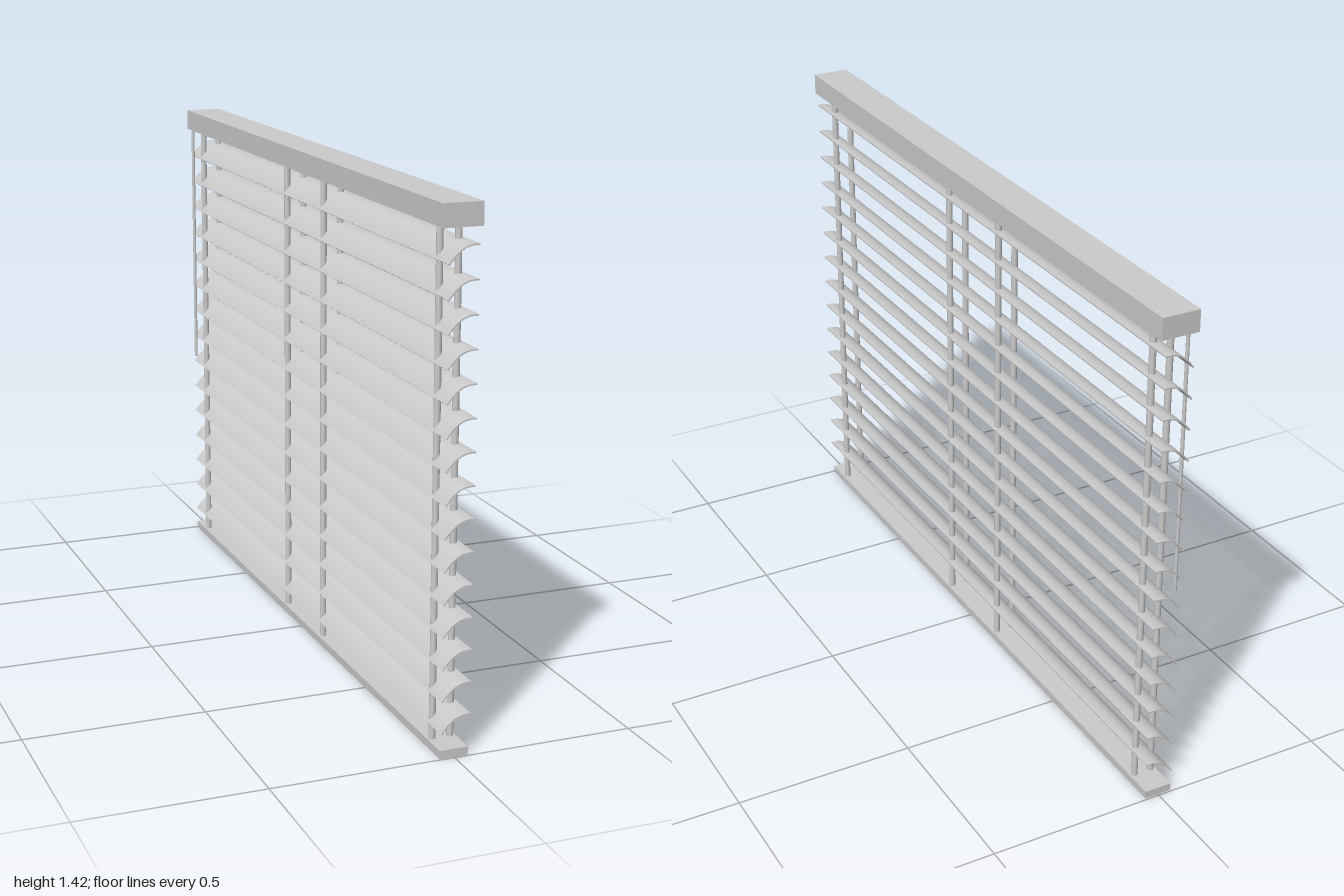
import * as THREE from 'three';
import { toCreasedNormals } from 'three/addons/utils/BufferGeometryUtils.js';

const SLATS = 15, SLAT_TOP = 0.117, SLAT_STEP = 0.086;
const CORD_Z = [0.915, 0.146, -0.142, -0.915];
const HEAD_Y = 1.36, HEAD_H = 0.06, FOOT_H = 0.022;

export function createModel() {
  const group = new THREE.Group();
  const material = new THREE.MeshStandardMaterial({ color: 0xcccccc });

  const add = (name, geometry, x, y, z, parent = group) => {
    const mesh = new THREE.Mesh(geometry, material);
    mesh.name = name;
    mesh.position.set(x, y, z);
    parent.add(mesh);
    return mesh;
  };

  // Rails
  add('headRail', new THREE.BoxGeometry(0.107, HEAD_H, 1.99), 0, HEAD_Y + HEAD_H / 2, 0);
  add('bottomRail', new THREE.BoxGeometry(0.078, FOOT_H, 1.99), 0, FOOT_H / 2, 0);

  // Curved slats: a thin bowed section, level at +x and dropping towards -x
  const curve = new THREE.CubicBezierCurve(
    new THREE.Vector2(0.043, -0.002), new THREE.Vector2(0.008, 0.001),
    new THREE.Vector2(-0.012, -0.012), new THREE.Vector2(-0.039, -0.048));
  const upper = curve.getSpacedPoints(10);
  const lower = upper.map((p, i) => {
    const t = curve.getTangentAt(i / 10);
    return new THREE.Vector2(p.x - t.y * 0.004, p.y + t.x * 0.004);
  });
  const section = new THREE.Shape([...upper, ...lower.reverse()]);
  const slat = toCreasedNormals(
    new THREE.ExtrudeGeometry(section, { depth: 2, bevelEnabled: false }).translate(0, 0, -1), 0.6);
  const slats = new THREE.Group();
  slats.name = 'slats';
  group.add(slats);
  for (let i = 0; i < SLATS; i++) add('slat', slat, 0, SLAT_TOP + i * SLAT_STEP, 0, slats);

  // Paired ladder cords on both sides of the slats
  const cordLength = HEAD_Y - FOOT_H;
  const cord = new THREE.CylinderGeometry(0.009, 0.009, cordLength, 12);
  const cords = new THREE.Group();
  cords.name = 'ladderCords';
  group.add(cords);
  for (const z of CORD_Z)
    for (const x of [-0.025, 0.025]) add('ladderCord', cord, x, FOOT_H + cordLength / 2, z, cords);

  // Tilt wand hanging at one end
  const wandLength = HEAD_Y - 0.612;
  add('tiltWand', new THREE.CylinderGeometry(0.005, 0.005, wandLength, 12), -0.048, 0.612 + wandLength / 2, -0.955);

  return group;
}
